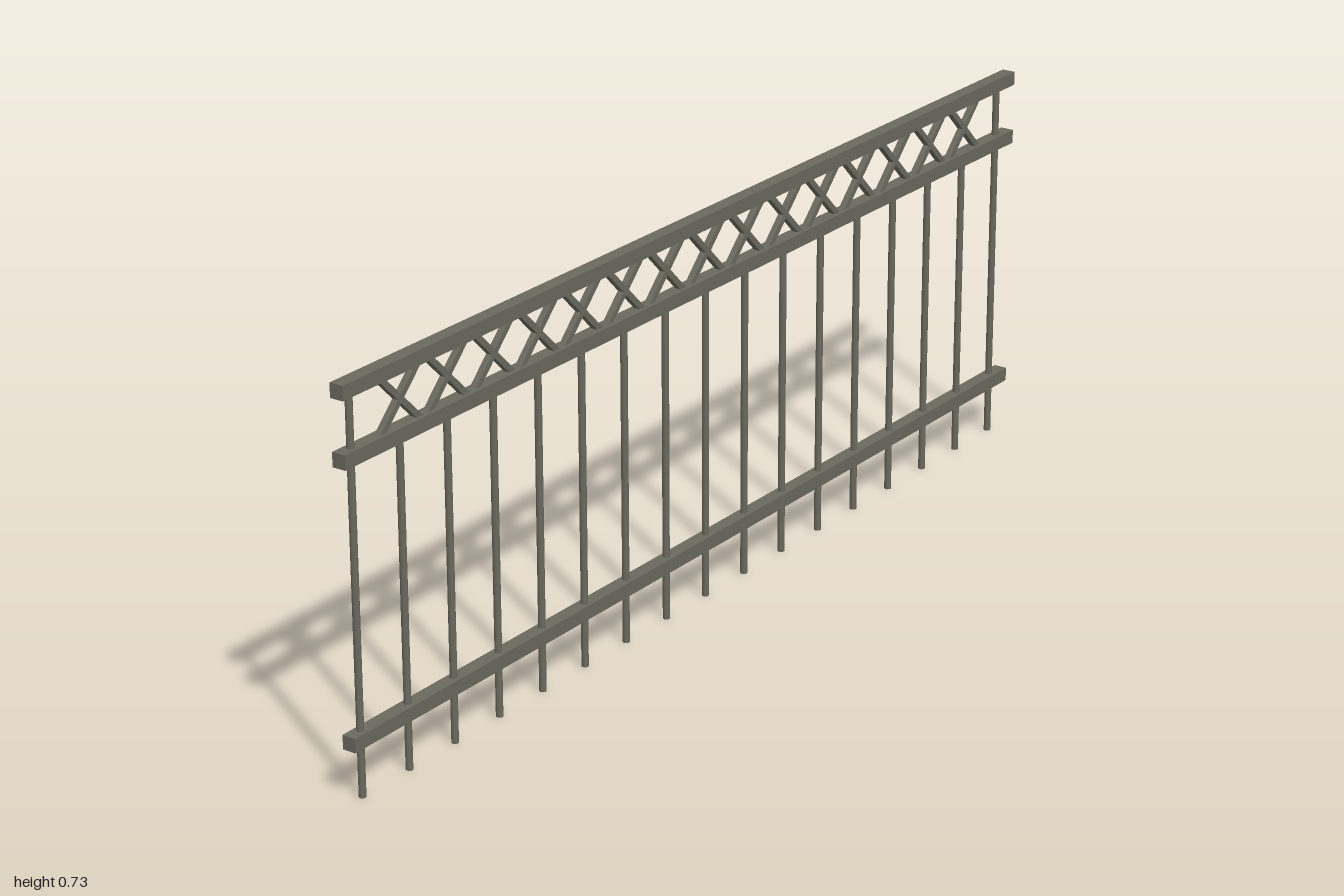
import * as THREE from 'three';

export function createModel() {
  const group = new THREE.Group();
  const metal = new THREE.MeshStandardMaterial({ color: 0x6a695e });
  metal.name = 'weathered grey metal';

  function add(name, geometry, x, y, angle = 0) {
    const mesh = new THREE.Mesh(geometry, metal);
    mesh.name = name;
    mesh.position.set(x, y, 0);
    mesh.rotation.z = angle;
    group.add(mesh);
  }

  // Horizontal rails
  const railY = { bottomRail: 0.107, middleRail: 0.6, topRail: 0.717 };
  const rail = new THREE.BoxGeometry(2, 0.026, 0.026);
  for (const [name, y] of Object.entries(railY)) add(name, rail, 0, y);

  // Upright bars; the two end bars reach the top rail
  const count = 17, firstX = -0.971, step = 0.1204, radius = 0.0065;
  const upright = (h) => new THREE.CylinderGeometry(radius, radius, h, 12);
  const endPost = upright(railY.topRail);
  const picket = upright(railY.middleRail);

  // Crossed braces between the upper rails, one pair above each inner bar
  const brace = new THREE.BoxGeometry(0.011, 0.146, 0.012);
  const braceY = (railY.middleRail + railY.topRail) / 2;

  for (let i = 0; i < count; i++) {
    const x = firstX + i * step;
    if (i === 0 || i === count - 1) {
      add('endPost', endPost, x, railY.topRail / 2);
      continue;
    }
    add('picket', picket, x, railY.middleRail / 2);
    for (const side of [-1, 1]) add('crossBrace', brace, x, braceY, side * Math.PI / 4);
  }
  return group;
}
